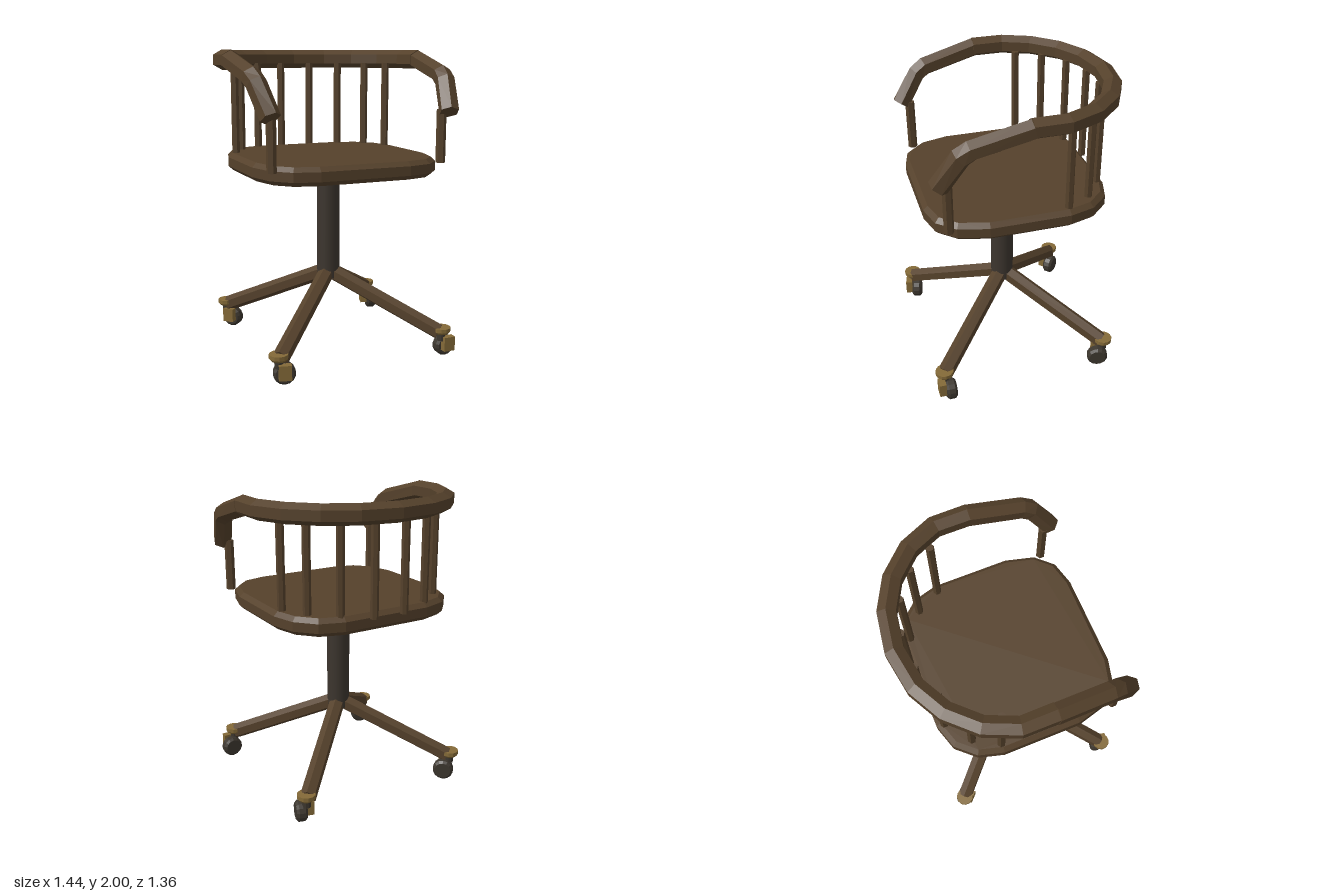
import * as THREE from 'three';

const mat = (name, color, flatShading = true) => {
  const m = new THREE.MeshStandardMaterial({ color, flatShading });
  m.name = name;
  return m;
};

// Six-sided bar swept along a list of points, one ridge facing up, both ends closed
function hexBar(path, r) {
  const pts = path.map(p => new THREE.Vector3(...p));
  const up = new THREE.Vector3(0, 1, 0);
  const pos = [], idx = [];
  pts.forEach((p, i) => {
    const a = pts[Math.max(i - 1, 0)], b = pts[Math.min(i + 1, pts.length - 1)];
    const t = new THREE.Vector3();
    if (i > 0) t.add(p.clone().sub(a).normalize());
    if (i < pts.length - 1) t.add(b.clone().sub(p).normalize());
    t.normalize();
    const side = t.clone().cross(up).normalize();
    const top = side.clone().cross(t);
    for (let k = 0; k < 6; k++) {
      const ang = k * Math.PI / 3;
      const v = p.clone().addScaledVector(side, Math.sin(ang) * r).addScaledVector(top, Math.cos(ang) * r);
      pos.push(v.x, v.y, v.z);
    }
  });
  for (let i = 0; i < pts.length - 1; i++) {
    for (let k = 0; k < 6; k++) {
      const a = i * 6 + k, b = i * 6 + (k + 1) % 6;
      idx.push(a, b, a + 6, b, b + 6, a + 6);
    }
  }
  const e = (pts.length - 1) * 6;
  for (let k = 1; k < 5; k++) {
    idx.push(0, k + 1, k);
    idx.push(e, e + k, e + k + 1);
  }
  const g = new THREE.BufferGeometry();
  g.setAttribute('position', new THREE.Float32BufferAttribute(pos, 3));
  g.setIndex(idx);
  const flat = g.toNonIndexed();
  flat.computeVertexNormals();
  return flat;
}

export function createModel() {
  const chair = new THREE.Group();
  chair.name = 'swivelChair';
  const wood = mat('dark wood', 0x55412b);
  const metal = mat('dark metal', 0x3c352e, false);
  const rubber = mat('wheel rubber', 0x3c362e);
  const brass = mat('brass', 0x846a38);
  const add = (parent, name, geo, material, x = 0, y = 0, z = 0) => {
    const m = new THREE.Mesh(geo, material);
    m.name = name;
    m.position.set(x, y, z);
    parent.add(m);
  };
  const baseZ = 0.045;

  // Seat: rounded square slab with bevelled edges
  const half = [[0.3, 0.63], [0.46, 0.59], [0.565, 0.48], [0.615, 0.29],
    [0.615, -0.22], [0.57, -0.38], [0.46, -0.5], [0.3, -0.55]];
  const outline = [...half, ...half.map(([x, z]) => [-x, z]).reverse()];
  const seatShape = new THREE.Shape(outline.map(([x, z]) => new THREE.Vector2(x, -z)));
  const seat = new THREE.ExtrudeGeometry(seatShape, {
    depth: 0.06, bevelEnabled: true, bevelSegments: 1,
    bevelThickness: 0.028, bevelSize: 0.03, bevelOffset: -0.03,
  });
  seat.rotateX(-Math.PI / 2);
  add(chair, 'seat', seat, wood, 0, 1.235, 0);

  // Curved back rail
  const railHalf = [[0.663, 0.06], [0.663, -0.15], [0.58, -0.34], [0.43, -0.495], [0.24, -0.595]];
  const rail = [...railHalf, [0, -0.633], ...railHalf.map(([x, z]) => [-x, z]).reverse()];
  add(chair, 'backRail', hexBar(rail.map(([x, z]) => [x, 1.9375, z]), 0.064), wood);

  // Arms, front posts and back spindles, mirrored
  const spindles = [[0.11, -0.565], [0.31, -0.5], [0.47, -0.38], [0.56, -0.22]];
  for (const s of [1, -1]) {
    const arm = [[0.666, 1.935, 0.05], [0.642, 1.845, 0.4], [0.633, 1.805, 0.46], [0.593, 1.615, 0.585]];
    add(chair, 'arm', hexBar(arm.map(([x, y, z]) => [s * x, y, z]), 0.064), wood);
    add(chair, 'armPost', new THREE.CylinderGeometry(0.031, 0.031, 0.34, 6), wood, s * 0.572, 1.46, 0.53);
    for (const [x, z] of spindles) {
      add(chair, 'backSpindle', new THREE.CylinderGeometry(0.026, 0.026, 0.62, 6), wood, s * x, 1.6, z);
    }
  }

  // Centre column and mounting collar
  add(chair, 'column', new THREE.CylinderGeometry(0.077, 0.077, 0.71, 24), metal, 0, 0.825, baseZ);
  add(chair, 'collar', new THREE.CylinderGeometry(0.134, 0.134, 0.065, 24), metal, 0, 1.18, baseZ);

  // Wheel with bevelled rims, its axle along z
  const wheel = new THREE.LatheGeometry([[0, -0.035], [0.055, -0.035], [0.07, -0.02],
    [0.07, 0.02], [0.055, 0.035], [0, 0.035]].map(p => new THREE.Vector2(...p)), 14);
  wheel.rotateX(Math.PI / 2);

  // Legs with casters: side x, side z, caster turn
  const feet = [[1, 1, 0], [-1, 1, -0.25], [1, -1, -1.85], [-1, -1, -Math.PI / 4]];
  for (const [sx, sz, turn] of feet) {
    add(chair, 'leg', hexBar([[0, 0.515, baseZ], [sx * 0.555, 0.172, baseZ + sz * 0.555]], 0.054), wood);
    const caster = new THREE.Group();
    caster.name = 'caster';
    caster.position.set(sx * 0.57, 0, baseZ + sz * 0.563);
    caster.rotation.y = turn;
    chair.add(caster);
    add(caster, 'casterCap', new THREE.CylinderGeometry(0.06, 0.06, 0.026, 12), brass, 0, 0.193, 0);
    add(caster, 'casterCone', new THREE.CylinderGeometry(0.06, 0.045, 0.016, 12), brass, 0, 0.172, 0);
    add(caster, 'casterStem', new THREE.CylinderGeometry(0.028, 0.028, 0.05, 10), rubber, 0, 0.14, 0);
    add(caster, 'casterWheel', wheel, rubber, 0.036, 0.07, -0.03);
    add(caster, 'casterBlock', new THREE.BoxGeometry(0.078, 0.095, 0.046), brass, 0.036, 0.097, 0.028);
  }
  return chair;
}
